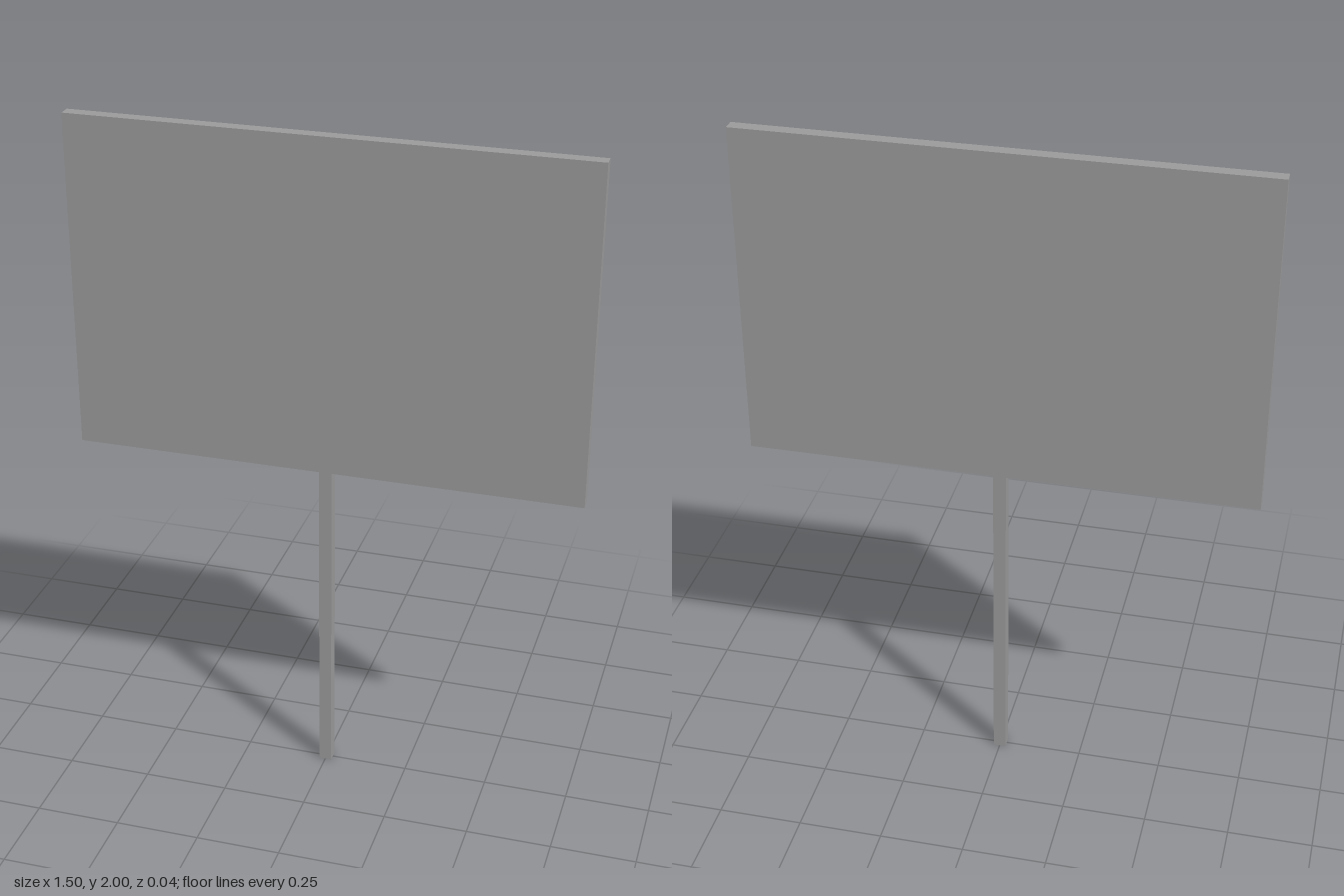
import * as THREE from 'three';

const THICKNESS = 0.0375;

export function createModel() {
  const group = new THREE.Group();
  group.name = 'signboard';
  const material = new THREE.MeshStandardMaterial({ color: 0x9a9a9a });

  // Adds a box whose underside sits at height y
  function addBox(name, width, height, y) {
    const mesh = new THREE.Mesh(new THREE.BoxGeometry(width, height, THICKNESS), material);
    mesh.name = name;
    mesh.position.y = y + height / 2;
    group.add(mesh);
  }

  // Square post from the ground to the board
  addBox('post', THICKNESS, 1, 0);
  // Wide flat board on top of the post
  addBox('board', 1.5, 1, 1);

  return group;
}
